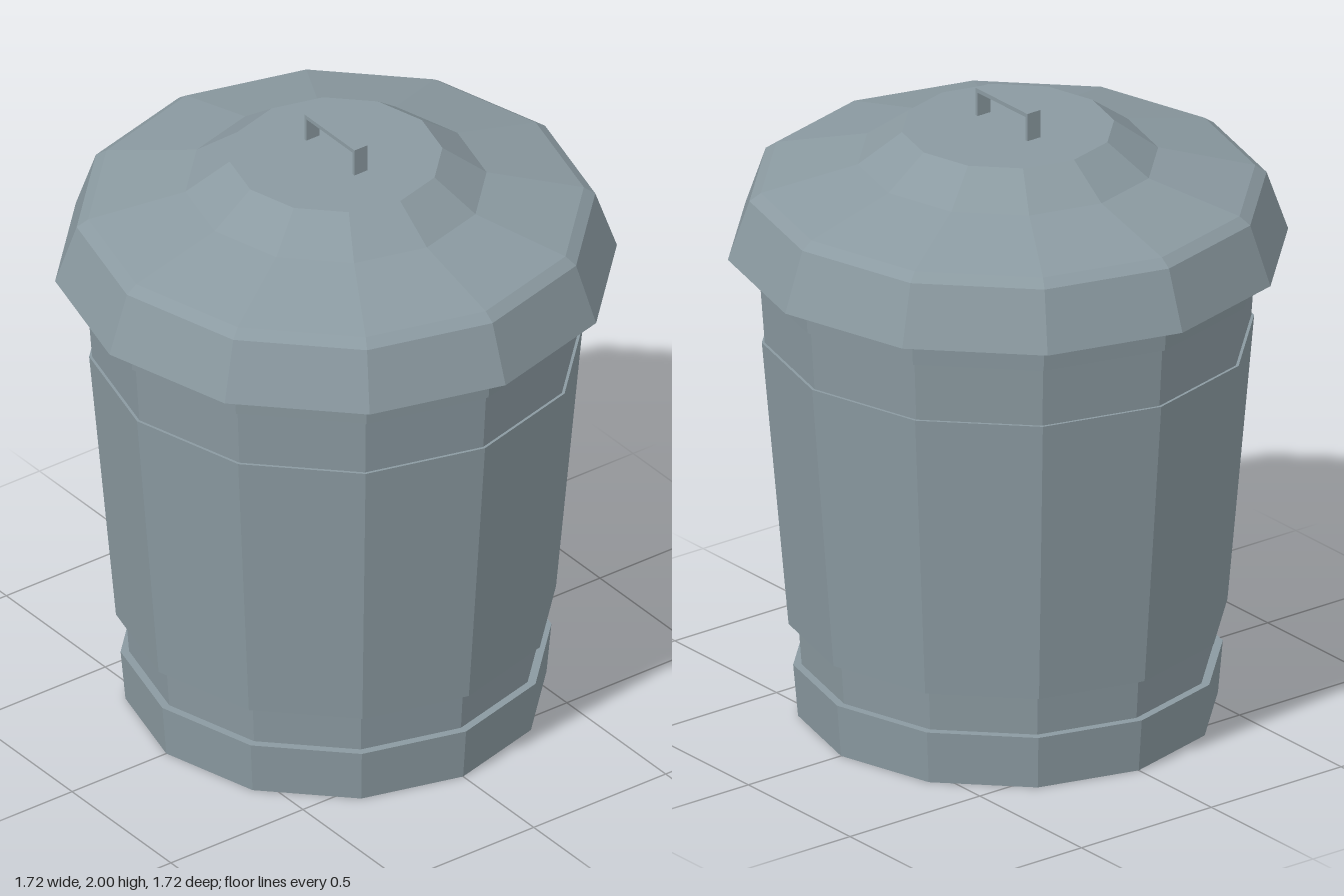
import * as THREE from 'three';

const SIDES = 12;

export function createModel() {
  const model = new THREE.Group();
  model.name = 'dustbin';
  const metal = new THREE.MeshStandardMaterial({ color: 0x8b9aa1, flatShading: true });
  metal.name = 'galvanised grey';

  const add = (name, geometry, parent = model) => {
    const mesh = new THREE.Mesh(geometry, metal);
    mesh.name = name;
    parent.add(mesh);
    return mesh;
  };
  // Twelve-sided turned part from [radius, height] pairs, listed bottom to top
  const turned = (name, profile) =>
    add(name, new THREE.LatheGeometry(profile.map(([r, y]) => new THREE.Vector2(r, y)), SIDES));

  // Tapered body with stepped foot, belly and collar
  turned('body', [
    [0, 0], [0.643, 0], [0.658, 0.17],
    [0.632, 0.17], [0.642, 0.305],
    [0.672, 0.305], [0.754, 1.24],
    [0.745, 1.24], [0.759, 1.432],
    [0.772, 1.432], [0.78, 1.53], [0, 1.53],
  ]);

  // Lid with flared skirt, shallow slope and raised flat crown
  turned('lid', [
    [0.74, 1.52], [0.858, 1.52], [0.792, 1.71], [0.757, 1.735],
    [0.46, 1.812], [0.325, 1.91], [0, 1.91],
  ]);

  // Thin strap handle
  const handle = new THREE.Group();
  handle.name = 'handle';
  model.add(handle);
  add('handleBar', new THREE.BoxGeometry(0.254, 0.013, 0.05), handle).position.y = 1.9935;
  for (const side of [-1, 1]) {
    const leg = add(side > 0 ? 'leftHandleLeg' : 'rightHandleLeg', new THREE.BoxGeometry(0.01, 0.082, 0.05), handle);
    leg.position.set(side * 0.122, 1.946, 0);
  }
  return model;
}
